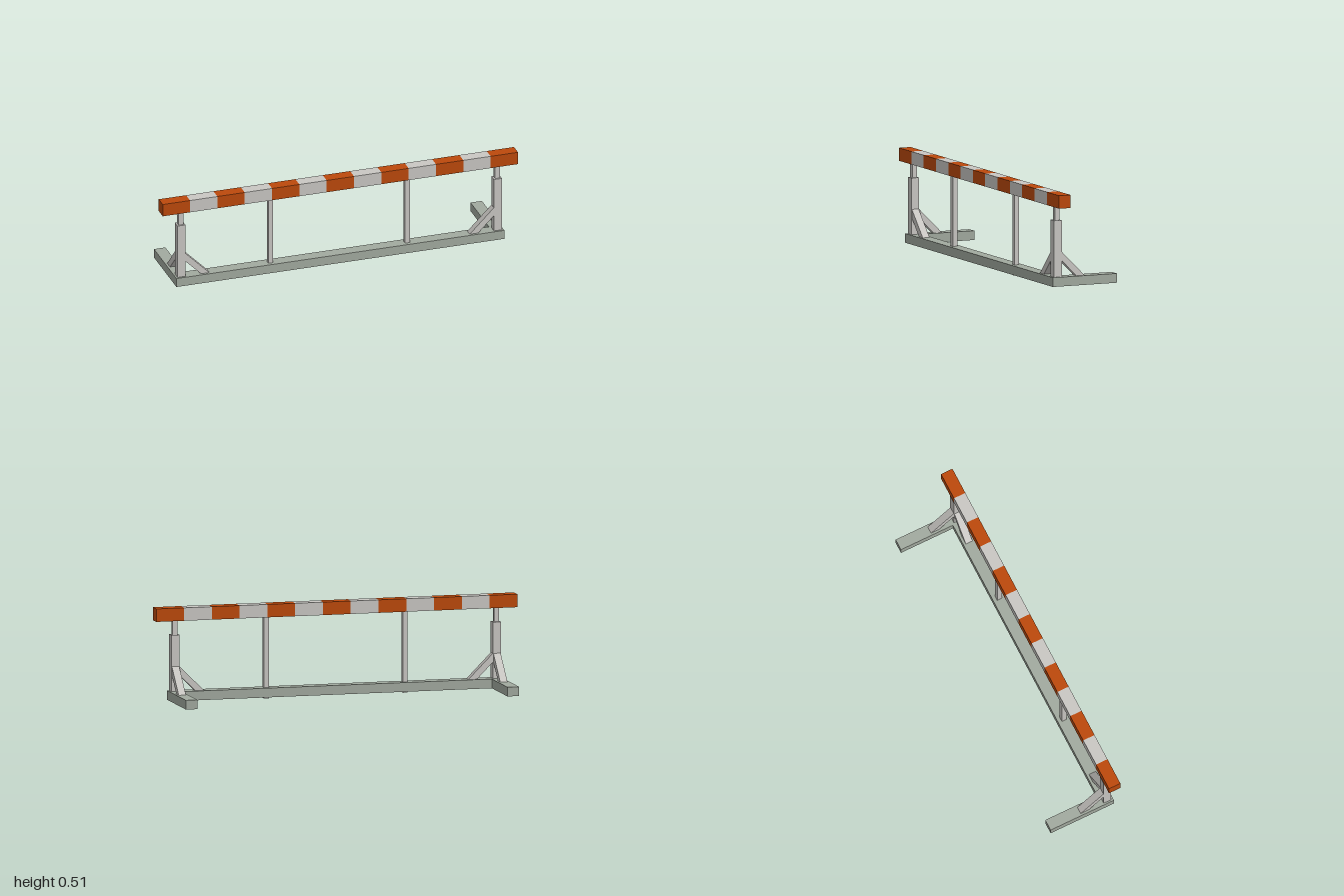
import * as THREE from 'three';

export function createModel() {
  const model = new THREE.Group();
  model.name = 'barrier';

  const mat = (name, color) => {
    const m = new THREE.MeshStandardMaterial({ color });
    m.name = name;
    return m;
  };
  const orange = mat('orange', 0xbc490c);
  const lightGrey = mat('light grey', 0xc9c7c3);
  const greenGrey = mat('green grey', 0xa2aa9f);

  // Box given by its minimum and maximum corners
  const box = (name, material, [x0, y0, z0], [x1, y1, z1], parent = model) => {
    const mesh = new THREE.Mesh(new THREE.BoxGeometry(x1 - x0, y1 - y0, z1 - z0), material);
    mesh.position.set((x0 + x1) / 2, (y0 + y1) / 2, (z0 + z1) / 2);
    mesh.name = name;
    parent.add(mesh);
    return mesh;
  };

  // Square upright centred on x, z
  const postZ = 0.155;
  const upright = (name, x, y0, y1, width) => {
    const h = width / 2;
    box(name, lightGrey, [x - h, y0, postZ - h], [x + h, y1, postZ + h]);
  };

  // Striped top rail
  const rail = new THREE.Group();
  rail.name = 'topRail';
  model.add(rail);
  const count = 13, step = 2 / count;
  for (let i = 0; i < count; i++) {
    const x = -1 + i * step;
    box('railStripe', i % 2 ? lightGrey : orange, [x, 0.44, 0.121], [x + step, 0.51, 0.189], rail);
  }

  // Base beam
  box('baseBeam', greenGrey, [-0.923, 0.008, 0.121], [0.923, 0.058, 0.189]);

  // Diagonal brace profile: u runs away from the post, v is height
  const profile = new THREE.Shape([
    new THREE.Vector2(0, 0.146), new THREE.Vector2(0.088, 0.058),
    new THREE.Vector2(0.136, 0.058), new THREE.Vector2(0, 0.194),
  ]);
  const braceWidth = 0.04;
  const braceGeometry = new THREE.ExtrudeGeometry(profile, { depth: braceWidth, bevelEnabled: false });
  braceGeometry.translate(0, 0, -braceWidth / 2);
  const brace = (name, x, z, turn) => {
    const mesh = new THREE.Mesh(braceGeometry, lightGrey);
    mesh.name = name;
    mesh.position.set(x, 0, z);
    mesh.rotation.y = turn;
    model.add(mesh);
  };

  for (const side of [-1, 1]) {
    const x = side * 0.891;
    // Rear foot, telescopic end post and thin middle pole
    box('rearFoot', greenGrey, [x - 0.032, 0.008, -0.189], [x + 0.032, 0.058, 0.121]);
    upright('outerPost', x, 0.058, 0.363, 0.045);
    upright('innerPost', x, 0.363, 0.44, 0.027);
    upright('middlePole', side * 0.385, 0, 0.44, 0.027);
    // Braces along the beam and along the foot
    brace('beamBrace', x - side * 0.0225, postZ, side > 0 ? Math.PI : 0);
    brace('footBrace', x, postZ - 0.0225, Math.PI / 2);
  }

  return model;
}
